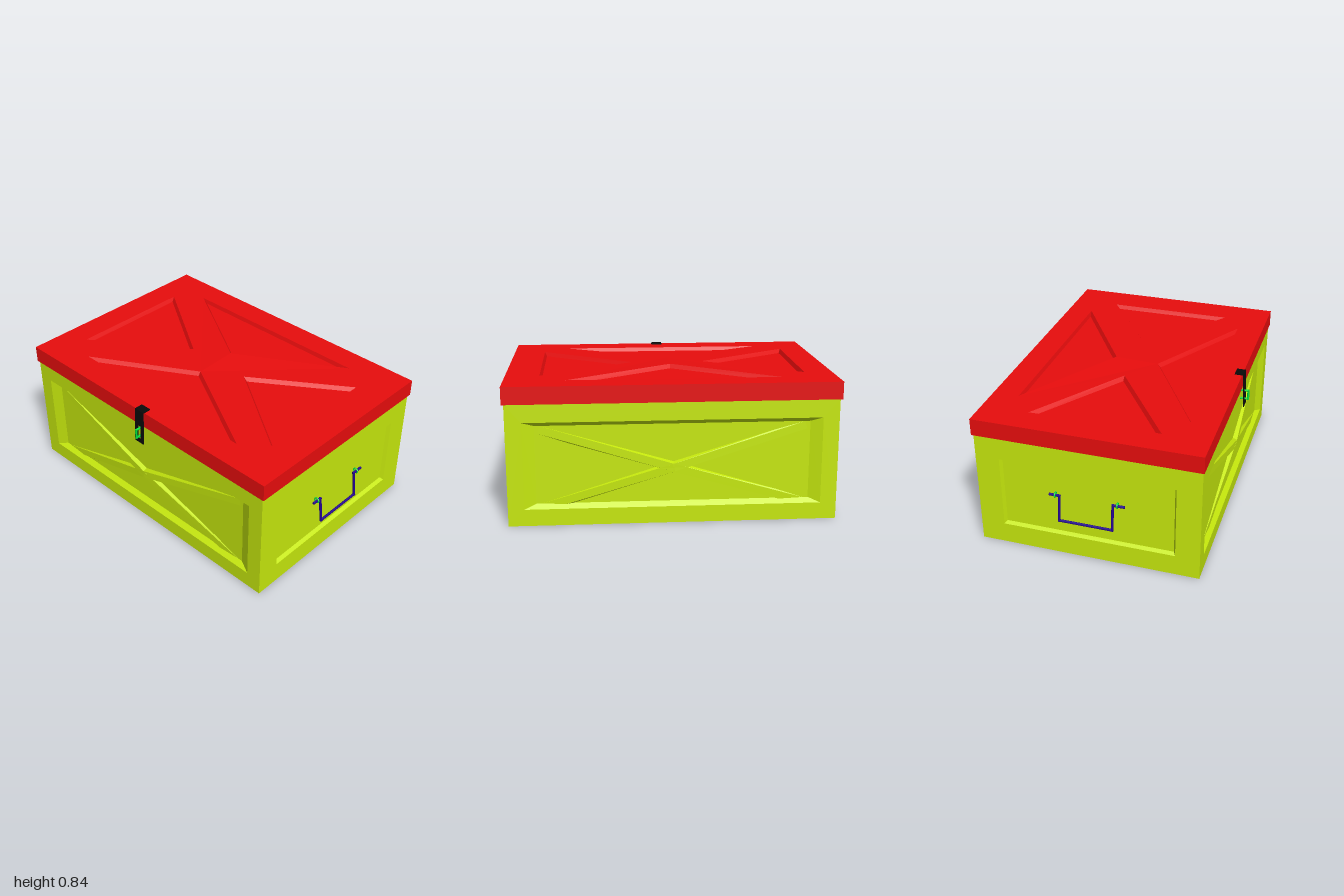
import * as THREE from 'three';
import { mergeGeometries } from 'three/addons/utils/BufferGeometryUtils.js';

const mat = (color) => new THREE.MeshStandardMaterial({ color, flatShading: true, side: THREE.DoubleSide });
const lime = mat(0xc6e80d), red = mat(0xe80d0d), blue = mat(0x22008f), green = mat(0x00e03a), black = mat(0x0a0a0a);

function add(parent, name, geometry, material, x = 0, y = 0, z = 0) {
  const mesh = new THREE.Mesh(geometry, material);
  mesh.name = name;
  mesh.position.set(x, y, z);
  parent.add(mesh);
  return mesh;
}

const toShape = (pts) => new THREE.Shape(pts.map(([x, y]) => new THREE.Vector2(x, y)));
const rect = (x0, y0, x1, y1) => [[x0, y0], [x1, y0], [x1, y1], [x0, y1]];

// Flat plate facing +z with bevelled recesses; each hole is a counter-clockwise outline
function recessedPlate(outline, holes, depth, sx, sy) {
  const face = toShape(outline);
  const parts = [];
  for (const pts of holes) {
    face.holes.push(toShape(pts));
    const cx = pts.reduce((s, p) => s + p[0], 0) / pts.length;
    const cy = pts.reduce((s, p) => s + p[1], 0) / pts.length;
    const inner = pts.map(([x, y]) => [cx + (x - cx) * sx, cy + (y - cy) * sy]);
    parts.push(new THREE.ShapeGeometry(toShape(inner)).translate(0, 0, -depth).toNonIndexed());
    // Sloped walls
    const pos = [];
    pts.forEach((a, i) => {
      const j = (i + 1) % pts.length, b = pts[j], c = inner[j], d = inner[i];
      pos.push(...a, 0, ...b, 0, ...c, -depth, ...a, 0, ...c, -depth, ...d, -depth);
    });
    const walls = new THREE.BufferGeometry();
    walls.setAttribute('position', new THREE.Float32BufferAttribute(pos, 3));
    parts.push(walls);
  }
  parts.push(new THREE.ShapeGeometry(face).toNonIndexed());
  parts.forEach((g) => { g.deleteAttribute('uv'); g.deleteAttribute('normal'); });
  const merged = mergeGeometries(parts);
  merged.computeVertexNormals();
  return merged;
}

// Cross brace: flush at the middle, sinking into the panel floor at both ends
function braceGeometry(length, width, depth) {
  const g = new THREE.BoxGeometry(length, width, depth, 2, 1, 1);
  const p = g.attributes.position;
  for (let i = 0; i < p.count; i++) {
    const top = p.getZ(i) > 0;
    const t = Math.abs(p.getX(i)) / (length / 2);
    p.setZ(i, top ? -0.001 - t * depth : -depth - 0.01);
    if (!top) p.setY(i, p.getY(i) * 1.4);
  }
  g.computeVertexNormals();
  return g;
}

// Square-ish rod through a list of points
function rod(points, radius, closed = false) {
  const path = new THREE.CurvePath();
  const v = points.map((p) => new THREE.Vector3(...p));
  const parts = [];
  const n = closed ? v.length : v.length - 1;
  for (let i = 0; i < n; i++) {
    const a = v[i], b = v[(i + 1) % v.length];
    const dir = b.clone().sub(a);
    const len = dir.length();
    const g = new THREE.CylinderGeometry(radius, radius, len + radius * 1.4, 8);
    const q = new THREE.Quaternion().setFromUnitVectors(new THREE.Vector3(0, 1, 0), dir.normalize());
    g.applyQuaternion(q);
    g.translate((a.x + b.x) / 2, (a.y + b.y) / 2, (a.z + b.z) / 2);
    parts.push(g);
  }
  return mergeGeometries(parts);
}

export function createModel() {
  const model = new THREE.Group();
  model.name = 'chest';
  const chest = new THREE.Group();
  chest.name = 'chestBody';
  chest.position.x = 0.025;
  model.add(chest);

  const W = 0.67, D = 0.965, H = 0.73;

  // Ends with one framed panel and a drop handle
  for (const [name, turn] of [['front', 0], ['back', Math.PI]]) {
    const end = new THREE.Group();
    end.name = name + 'End';
    end.rotation.y = turn;
    chest.add(end);
    const panel = recessedPlate(rect(-W, 0, W, H), [rect(-0.525, 0.13, 0.525, 0.585)], 0.022, 0.976, 0.945);
    add(end, name + 'Panel', panel, lime, 0, 0, D);
    const bail = [[-0.217, 0.412, 0.973], [-0.16, 0.412, 0.973], [-0.16, 0.252, 0.992],
      [0.16, 0.252, 0.992], [0.16, 0.412, 0.973], [0.225, 0.412, 0.973]];
    add(end, name + 'Handle', rod(bail, 0.008), blue);
    for (const s of [-1, 1]) {
      const ring = add(end, name + 'HandleEyelet', new THREE.TorusGeometry(0.015, 0.0045, 6, 12), green, s * 0.186, 0.412, 0.968);
      ring.rotation.y = Math.PI / 2;
    }
  }

  // Long sides with a framed panel and crossed braces
  for (const [name, turn] of [['left', Math.PI / 2], ['right', -Math.PI / 2]]) {
    const side = new THREE.Group();
    side.name = name + 'Side';
    side.rotation.y = turn;
    chest.add(side);
    const panel = recessedPlate(rect(-D, 0, D, H), [rect(-0.87, 0.1, 0.87, 0.62)], 0.03, 0.92, 0.9);
    add(side, name + 'Panel', panel, lime, 0, 0, W);
    for (const s of [-1, 1]) {
      const brace = add(side, name + 'Brace', braceGeometry(1.68, 0.046, 0.03), lime, 0, 0.335, W);
      brace.rotation.z = s * 0.295;
    }
  }
  add(chest, 'bottom', new THREE.PlaneGeometry(2 * W, 2 * D).rotateX(Math.PI / 2), lime);

  // Lid: rim, underside and a top with four triangular recesses
  const LW = 0.678, LD = 0.978, top = 0.832;
  const triangles = [
    [[0.005, 0.23], [0.39, 0.81], [-0.395, 0.815]],
    [[0, -0.21], [-0.395, -0.78], [0.385, -0.775]],
    [[-0.515, 0.65], [-0.515, -0.63], [-0.145, 0.02]],
    [[0.52, -0.62], [0.52, 0.65], [0.125, 0.02]],
  ];
  const lidTop = recessedPlate(rect(-LW, -LD, LW, LD), triangles, 0.024, 0.93, 0.93);
  // Slight bulge beside the centre
  const p = lidTop.attributes.position;
  for (let i = 0; i < p.count; i++) {
    const d = Math.hypot(p.getX(i) - 0.125, p.getY(i) - 0.02);
    p.setZ(i, p.getZ(i) + 0.01 * Math.max(0, 1 - d / 0.26));
  }
  lidTop.computeVertexNormals();
  add(chest, 'lidTop', lidTop.rotateX(-Math.PI / 2), red, 0, top, 0);
  const rim = [];
  for (let i = 0; i < 4; i++) {
    const [w, d] = i % 2 ? [LD, LW] : [LW, LD];
    rim.push(new THREE.PlaneGeometry(2 * w, top - 0.728).translate(0, (top + 0.728) / 2, d).rotateY(i * Math.PI / 2));
  }
  rim.push(new THREE.PlaneGeometry(2 * LW, 2 * LD).rotateX(Math.PI / 2).translate(0, 0.728, 0));
  add(chest, 'lidRim', mergeGeometries(rim), red);

  // Hasp: a folded slotted strap over a staple
  const hasp = new THREE.Group();
  hasp.name = 'hasp';
  hasp.position.z = 0.015;
  model.add(hasp);
  add(hasp, 'haspLeaf', new THREE.BoxGeometry(0.055, 0.006, 0.07), black, -0.635, 0.835, 0);
  const strapShape = toShape(rect(-0.035, -0.112, 0.035, 0.112));
  strapShape.holes.push(toShape(rect(-0.011, -0.085, 0.011, 0.005)));
  const strapGeometry = new THREE.ExtrudeGeometry(strapShape, { depth: 0.005, bevelEnabled: false });
  const strap = add(hasp, 'haspStrap', strapGeometry.rotateY(-Math.PI / 2), black, -0.664, 0.725, 0);
  strap.rotation.z = -0.06;
  const staple = [[-0.64, 0.713, 0], [-0.693, 0.713, 0], [-0.693, 0.657, 0], [-0.64, 0.657, 0]];
  add(hasp, 'staple', rod(staple, 0.007), green);

  return model;
}
